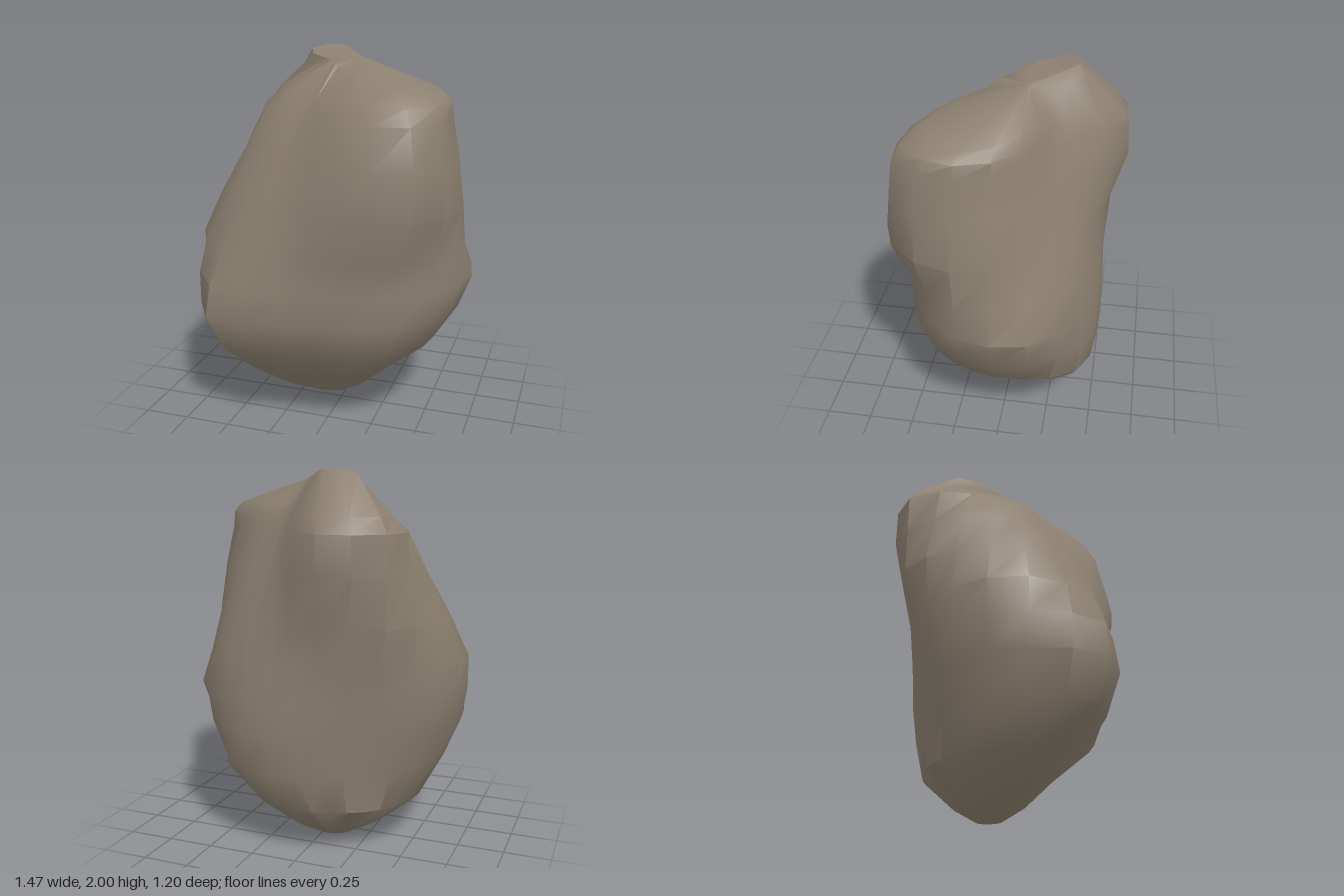
import * as THREE from 'three';
import { toCreasedNormals } from 'three/addons/utils/BufferGeometryUtils.js';

// Height, then radii at 15, 45, 75 ... 345 degrees from +x towards +z
const sections = [
  [0.45, [.52, .51, .47, .50, .70, .64, .55, .48, .46, .52, .59, .54]],
  [0.66, [.65, .60, .55, .58, .80, .73, .65, .53, .50, .54, .62, .66]],
  [0.84, [.71, .60, .55, .57, .77, .76, .68, .56, .51, .53, .61, .72]],
  [1.02, [.69, .63, .56, .55, .69, .76, .70, .60, .52, .51, .58, .66]],
  [1.25, [.72, .73, .61, .52, .56, .65, .665, .67, .54, .47, .53, .60]],
  [1.50, [.69, .72, .55, .41, .44, .51, .57, .67, .62, .42, .43, .54]],
  [1.70, [.65, .69, .46, .30, .30, .39, .49, .67, .60, .36, .34, .48]],
  [1.78, [.64, .64, .36, .23, .22, .28, .38, .60, .54, .32, .31, .47]],
];
// Rim of the slanting ridge that closes the top
const rimRadii = [.59, .52, .11, .06, .05, .055, .09, .355, .34, .26, .28, .42];
const rimHeights = [1.82, 1.85, 1.90, 1.93, 1.935, 1.94, 1.95, 1.98, 2, 1.86, 1.82, 1.84];
// The underside repeats the lowest section: height and scale
const underside = [[0.02, 0.15], [0.10, 0.40], [0.25, 0.72]];

// One smooth extra value between each pair of neighbours
function smoothLoop(r) {
  const n = r.length;
  return r.flatMap((b, i) => {
    const a = r[(i + n - 1) % n], c = r[(i + 1) % n], d = r[(i + 2) % n];
    return [b, (9 * (b + c) - a - d) / 16];
  });
}

function buildRock() {
  const pos = [], index = [];
  const n = 24;
  const addRing = (radii, heights, scale = 1, cx = 0, cz = 0) => {
    const ys = smoothLoop(heights);
    smoothLoop(radii).forEach((r, j) => {
      const t = ((j + 1) / n) * Math.PI * 2;
      pos.push(cx + scale * r * Math.cos(t), ys[j], cz + scale * r * Math.sin(t));
    });
  };
  const level = (y) => Array(n / 2).fill(y);
  for (const [y, scale] of underside) addRing(sections[0][1], level(y), scale, -0.07, -0.08);
  for (const [y, radii] of sections) addRing(radii, level(y));
  addRing(rimRadii, rimHeights);

  // Sides
  const last = pos.length / 3 - n;
  for (let i = 0; i < last; i += n) {
    for (let j = 0; j < n; j++) {
      const k = (j + 1) % n;
      const a = i + j, b = a + n, c = i + k, d = c + n;
      index.push(a, b, c, c, b, d);
    }
  }
  // Bottom tip and top cap
  const low = last + n, high = low + 1;
  pos.push(-0.09, 0, -0.06, 0.09, 1.955, -0.1);
  for (let j = 0; j < n; j++) {
    const k = (j + 1) % n;
    index.push(low, j, k, high, last + k, last + j);
  }

  const geometry = new THREE.BufferGeometry();
  geometry.setAttribute('position', new THREE.Float32BufferAttribute(pos, 3));
  geometry.setIndex(index);
  return toCreasedNormals(geometry, 0.65);
}

export function createModel() {
  const group = new THREE.Group();
  group.name = 'boulder';
  const stone = new THREE.MeshStandardMaterial({ color: 0x8c8070 });
  stone.name = 'greyBrownStone';
  const rock = new THREE.Mesh(buildRock(), stone);
  rock.name = 'rock';
  group.add(rock);
  return group;
}
